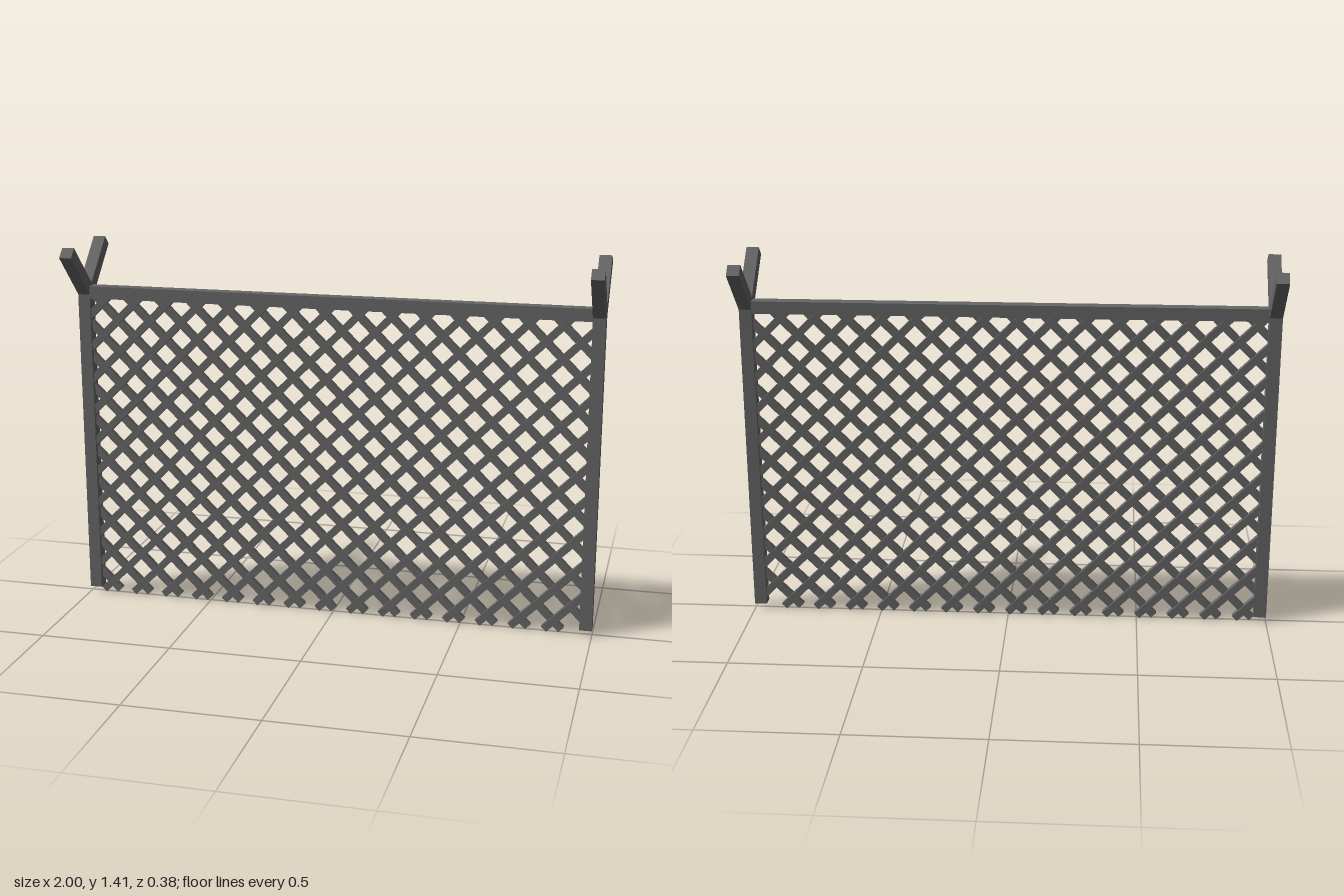
import * as THREE from 'three';

export function createModel() {
  const group = new THREE.Group();
  group.name = 'fencePanel';
  const steel = new THREE.MeshStandardMaterial({ color: 0x666666 });
  steel.name = 'greySteel';

  const addBox = (name, w, h, d, x, y, z) => {
    const mesh = new THREE.Mesh(new THREE.BoxGeometry(w, h, d), steel);
    mesh.name = name;
    mesh.position.set(x, y, z);
    group.add(mesh);
    return mesh;
  };

  const beam = 0.047;
  const postX = 1 - beam / 2;

  // Posts, each with two arms forking to the front and the back
  for (const side of [-1, 1]) {
    const label = side > 0 ? 'left' : 'right';
    addBox(label + 'Post', beam, 1.2, beam, side * postX, 0.622, 0);
    for (const dir of [-1, 1]) {
      const arm = addBox(label + (dir > 0 ? 'FrontArm' : 'BackArm'),
        beam, 0.242, beam, side * postX, 1.308, dir * 0.086);
      arm.rotation.x = dir * Math.PI / 4;
    }
  }

  // Top rail
  addBox('topRail', 2 * postX - beam, beam, beam, 0, 1.221, 0);

  // Diagonal lattice bars, clipped between the posts, the rail and the open bottom
  const barWidth = 0.028, barDepth = 0.022, pitch = 0.126;
  const bottom = 0.01, top = 1.215, edge = 0.965;
  for (const lean of [-1, 1]) {
    const first = lean > 0 ? -0.945 : -0.88;
    for (let i = -12; i < 28; i++) {
      const foot = first + i * pitch; // x of the bar at the bottom
      const reach = [(-edge - foot) * lean, (edge - foot) * lean].sort((a, b) => a - b);
      const lo = Math.max(0, reach[0]);
      const hi = Math.min(top - bottom, reach[1]);
      if (hi - lo < 0.03) continue;
      const mid = (lo + hi) / 2;
      const bar = addBox(lean > 0 ? 'risingBar' : 'fallingBar',
        barWidth, (hi - lo) * Math.SQRT2, barDepth,
        foot + lean * mid, bottom + mid, lean * 0.004);
      bar.rotation.z = -lean * Math.PI / 4;
    }
  }
  return group;
}
